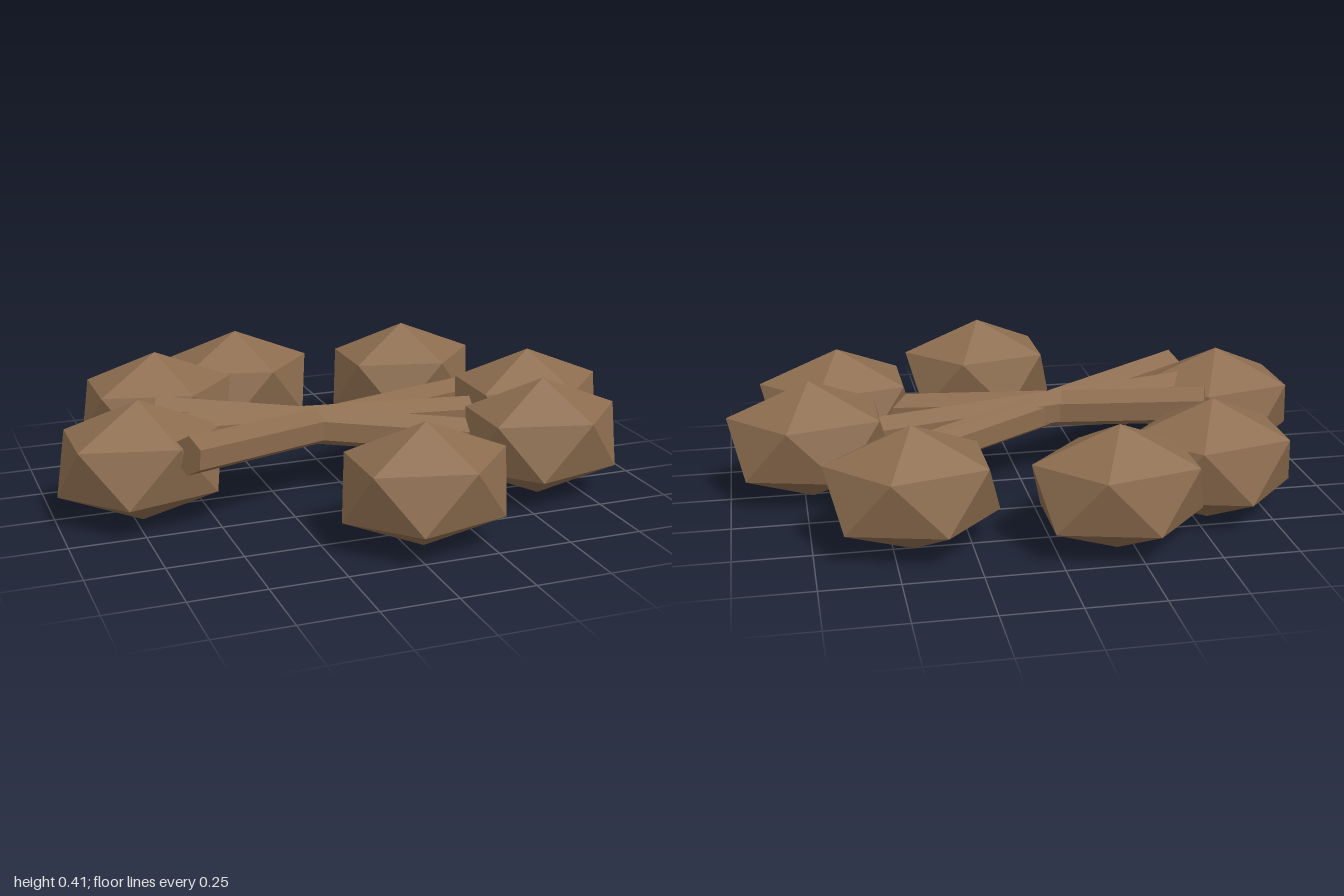
import * as THREE from 'three';

export function createModel() {
  const group = new THREE.Group();
  group.name = 'campfireRing';
  const brown = new THREE.MeshStandardMaterial({ color: 0x8c6c4e, flatShading: true });
  brown.name = 'brown';

  // Faceted stone: icosahedron standing on a corner, stretched sideways
  const stoneGeo = new THREE.IcosahedronGeometry(1, 0);
  stoneGeo.rotateZ(-Math.atan(2 / (1 + Math.sqrt(5))));
  stoneGeo.scale(0.308, 0.206, 0.238);
  stoneGeo.computeVertexNormals();

  // Ring of stones, as [x, z]
  const stones = [
    [-0.725, 0.095], [-0.545, -0.433], [-0.195, -0.613], [0.435, -0.505],
    [0.722, -0.015], [0.605, 0.325], [0.055, 0.61],
  ];
  stones.forEach(([x, z], i) => {
    const stone = new THREE.Mesh(stoneGeo, brown);
    stone.name = `stone${i + 1}`;
    stone.position.set(x, 0.21, z);
    group.add(stone);
  });

  // Six-sided logs with a ridge on top, each laid between two end points
  const logs = [
    [[-0.62, 0.285, 0.31], [0.615, 0.18, -0.305]],
    [[-0.66, 0.285, 0.07], [0.68, 0.19, -0.01]],
    [[-0.62, 0.285, -0.13], [0.66, 0.18, 0.325]],
  ];
  const xAxis = new THREE.Vector3(1, 0, 0);
  logs.forEach(([a, b], i) => {
    const start = new THREE.Vector3(...a);
    const end = new THREE.Vector3(...b);
    const span = end.clone().sub(start);
    const geo = new THREE.CylinderGeometry(0.065, 0.065, span.length(), 6, 1, false, Math.PI / 2);
    geo.rotateZ(Math.PI / 2);
    const log = new THREE.Mesh(geo, brown);
    log.name = `log${i + 1}`;
    log.position.copy(start).add(end).multiplyScalar(0.5);
    log.quaternion.setFromUnitVectors(xAxis, span.normalize());
    group.add(log);
  });

  return group;
}
